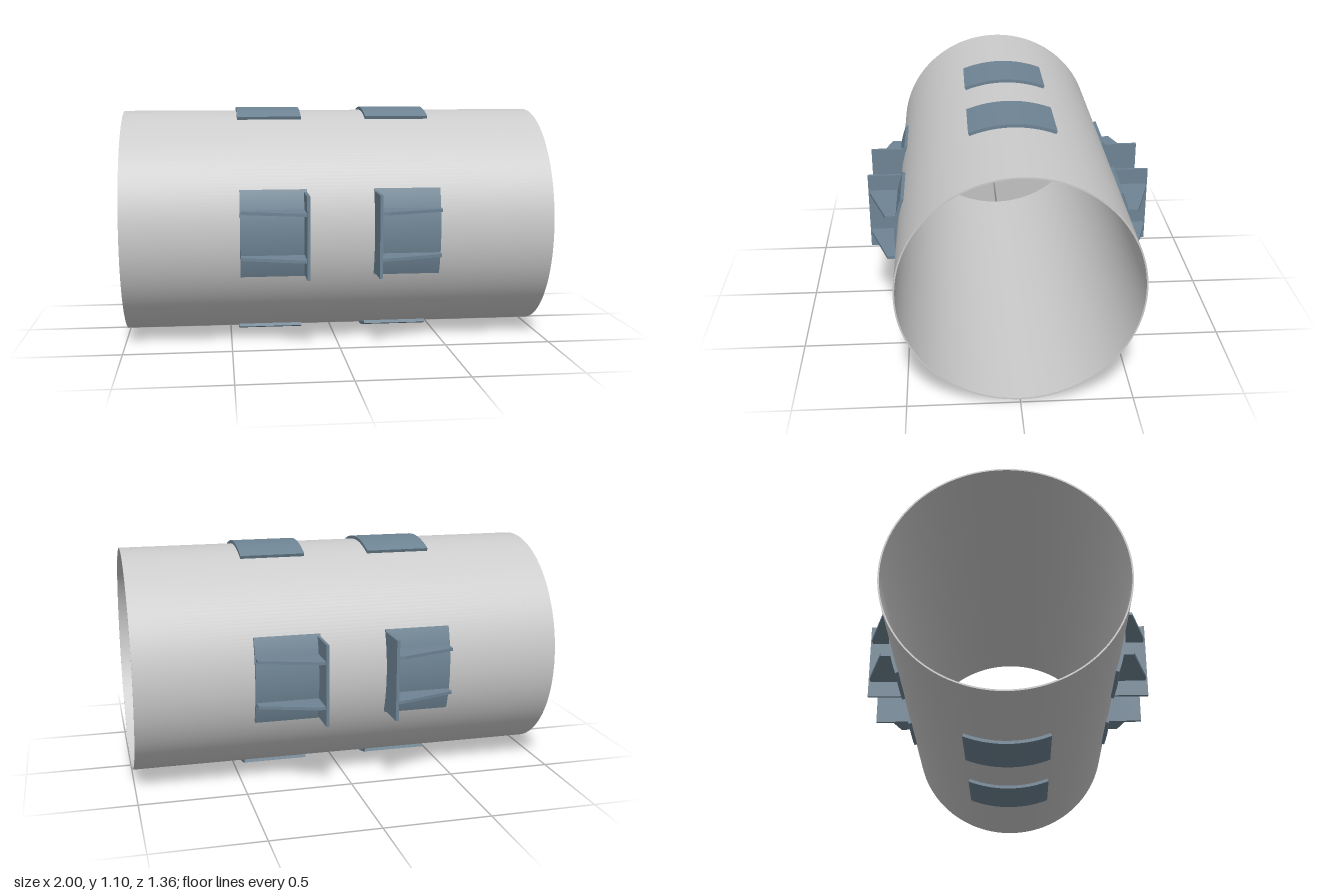
import * as THREE from 'three';
import { toCreasedNormals } from 'three/addons/utils/BufferGeometryUtils.js';

const CENTRE_Y = 0.55, TUBE_R = 0.535, TUBE_INNER = 0.528, PAD_R = 0.55;
const X0 = 0.155, X1 = 0.46;

const grey = new THREE.MeshStandardMaterial({ color: 0xcccccc });
const steel = new THREE.MeshStandardMaterial({ color: 0x6e8494 });

// Extrude a cross-section drawn in (z, y) along x, from xa to xb
function extrudeX(shape, xa, xb, curveSegments) {
  const geo = new THREE.ExtrudeGeometry(shape, { depth: xb - xa, bevelEnabled: false, curveSegments });
  geo.rotateY(-Math.PI / 2).translate(xb, 0, 0);
  return toCreasedNormals(geo, 0.5);
}

function part(name, geometry, material) {
  const mesh = new THREE.Mesh(geometry, material);
  mesh.name = name;
  return mesh;
}

// Curved pad hugging the tube
function padGeometry() {
  const a = Math.asin(0.2 / PAD_R);
  const s = new THREE.Shape();
  s.absarc(0, 0, PAD_R, -a, a, false);
  s.absarc(0, 0, TUBE_R, a, -a, true);
  s.closePath();
  return extrudeX(s, X0, X1, 20);
}

// Upright plate whose inner edge follows the pad
function plateGeometry() {
  const h = 0.188, r = 0.545, a = Math.asin(h / r);
  const s = new THREE.Shape();
  s.moveTo(0.68, -h);
  s.lineTo(0.68, h);
  s.absarc(0, 0, r, a, -a, true);
  s.closePath();
  return extrudeX(s, X0, X0 + 0.014, 20);
}

// Tapered rib bracing the plate, outline in (x, z), thickness along y
function ribGeometry() {
  const t = 0.014;
  const s = new THREE.Shape([
    [X0 + 0.01, 0.532], [X1 - 0.003, 0.532], [X1 - 0.003, 0.586], [0.2, 0.67], [X0 + 0.01, 0.67],
  ].map(([x, z]) => new THREE.Vector2(x, z)));
  const geo = new THREE.ExtrudeGeometry(s, { depth: t, bevelEnabled: false });
  return geo.rotateX(Math.PI / 2).translate(0, t / 2, 0);
}

export function createModel() {
  const model = new THREE.Group();
  model.name = 'pipeWithBrackets';
  const body = new THREE.Group();
  body.position.y = CENTRE_Y;
  model.add(body);

  // Open pipe
  const ring = new THREE.Shape().absarc(0, 0, TUBE_R, 0, Math.PI * 2, false);
  ring.holes.push(new THREE.Path().absarc(0, 0, TUBE_INNER, 0, Math.PI * 2, true));
  body.add(part('pipe', extrudeX(ring, -1, 1, 96), grey));

  const padGeo = padGeometry(), plateGeo = plateGeometry(), ribGeo = ribGeometry();

  // Four stations around the pipe: front, bottom, back, top; two units at each
  ['front', 'bottom', 'back', 'top'].forEach((side, i) => {
    const station = new THREE.Group();
    station.name = side + 'Station';
    station.rotation.x = i * Math.PI / 2;
    body.add(station);

    for (const turn of [0, Math.PI]) {
      const unit = new THREE.Group();
      unit.name = i % 2 ? 'padUnit' : 'bracket';
      unit.rotation.z = turn; // symmetric in y, so a half turn mirrors it in x
      unit.add(part('pad', padGeo, steel));
      // Only front and back carry the plate and ribs
      if (i % 2 === 0) {
        unit.add(part('plate', plateGeo, steel));
        for (const y of [-0.104, 0.104]) {
          const rib = part('rib', ribGeo, steel);
          rib.position.y = y;
          unit.add(rib);
        }
      }
      station.add(unit);
    }
  });
  return model;
}
